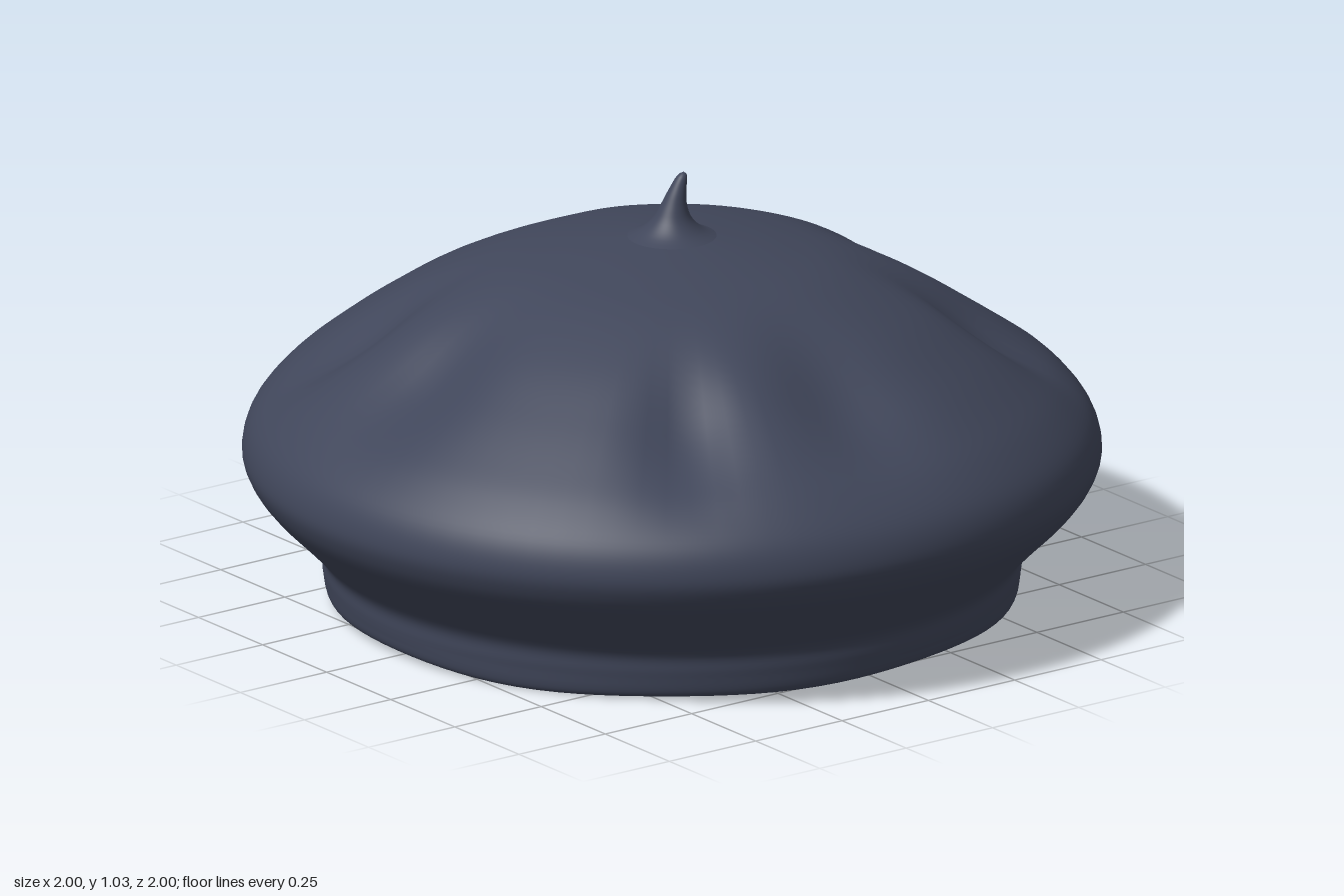
import * as THREE from 'three';
import { mergeVertices } from 'three/addons/utils/BufferGeometryUtils.js';

const SEGMENTS = 96;

// Soft folds, repeated in each quarter: [angle, radius, angular width, radial width, depth]
const FOLDS = [
  [-0.03, 0.7, 0.2, 0.17, 0.045],
  [0.98, 0.73, 0.13, 0.16, 0.045],
];

function foldDepth(angle, radius) {
  let depth = 0;
  for (const [a, r, wa, wr, d] of FOLDS) {
    for (let k = 0; k < 4; k++) {
      const raw = angle - a - k * Math.PI / 2;
      const da = Math.atan2(Math.sin(raw), Math.cos(raw));
      depth += d * Math.exp(-((da / wa) ** 2) - ((radius - r) / wr) ** 2);
    }
  }
  return depth;
}

// Smooth surface of revolution, then moved point by point with a rule
function revolve(points, samples, rule) {
  const curve = new THREE.SplineCurve(points.map(([r, y]) => new THREE.Vector2(r, y)));
  const profile = curve.getPoints(samples);
  profile.forEach((p) => { p.x = Math.max(p.x, 0); });
  let geometry = new THREE.LatheGeometry(profile, SEGMENTS);
  geometry.deleteAttribute('uv');
  geometry.deleteAttribute('normal');
  const pos = geometry.attributes.position;
  const v = new THREE.Vector3();
  for (let i = 0; i < pos.count; i++) {
    v.fromBufferAttribute(pos, i);
    rule(v, Math.atan2(v.x, v.z), Math.hypot(v.x, v.z));
    pos.setXYZ(i, v.x, v.y, v.z);
  }
  geometry = mergeVertices(geometry, 1e-5);
  geometry.computeVertexNormals();
  return geometry;
}

// Slightly uneven lower hem
function unevenHem(v, angle) {
  if (v.y < 0.05) v.y += 0.004 * Math.sin(3 * angle + 1) + 0.003 * Math.sin(7 * angle);
}

// Presses folds into the upper side only
function crease(v, angle, radius) {
  const d = foldDepth(angle, radius) * THREE.MathUtils.smoothstep(v.y, 0.38, 0.52);
  v.y -= d;
  v.x -= Math.sin(angle) * d * 0.3;
  v.z -= Math.cos(angle) * d * 0.3;
}

export function createModel() {
  const group = new THREE.Group();
  group.name = 'beret';
  const felt = new THREE.MeshStandardMaterial({ color: 0x40465a });
  felt.name = 'slate blue felt';

  const add = (name, geometry) => {
    const mesh = new THREE.Mesh(geometry, felt);
    mesh.name = name;
    group.add(mesh);
  };

  // Head band running smoothly into the puffy crown
  add('crown', revolve([
    [0.782, 0.014], [0.795, 0.01], [0.806, 0.025], [0.813, 0.07], [0.822, 0.12],
    [0.88, 0.185], [0.945, 0.25], [0.985, 0.305], [1.0, 0.36],
    [0.98, 0.43], [0.92, 0.503], [0.84, 0.57], [0.73, 0.65], [0.59, 0.737],
    [0.42, 0.812], [0.27, 0.85], [0.12, 0.873], [0, 0.885],
  ], 96, (v, angle, radius) => {
    unevenHem(v, angle);
    crease(v, angle, radius);
  }));

  // Domed inside, facing down
  add('lining', revolve([
    [0, 0.42], [0.25, 0.39], [0.45, 0.31], [0.6, 0.205], [0.7, 0.11], [0.782, 0.014],
  ], 32, unevenHem));

  // Little pointed stalk, leaning slightly to its left
  add('stalk', revolve([
    [0.13, 0.865], [0.08, 0.886], [0.048, 0.915], [0.031, 0.95], [0.021, 0.985],
    [0.012, 1.018], [0, 1.028],
  ], 24, (v) => {
    const t = THREE.MathUtils.clamp((v.y - 0.87) / 0.16, 0, 1);
    v.x += 0.027 * t - 0.012 * Math.sin(Math.PI * t);
    v.z += 0.01 * t;
  }));

  return group;
}
